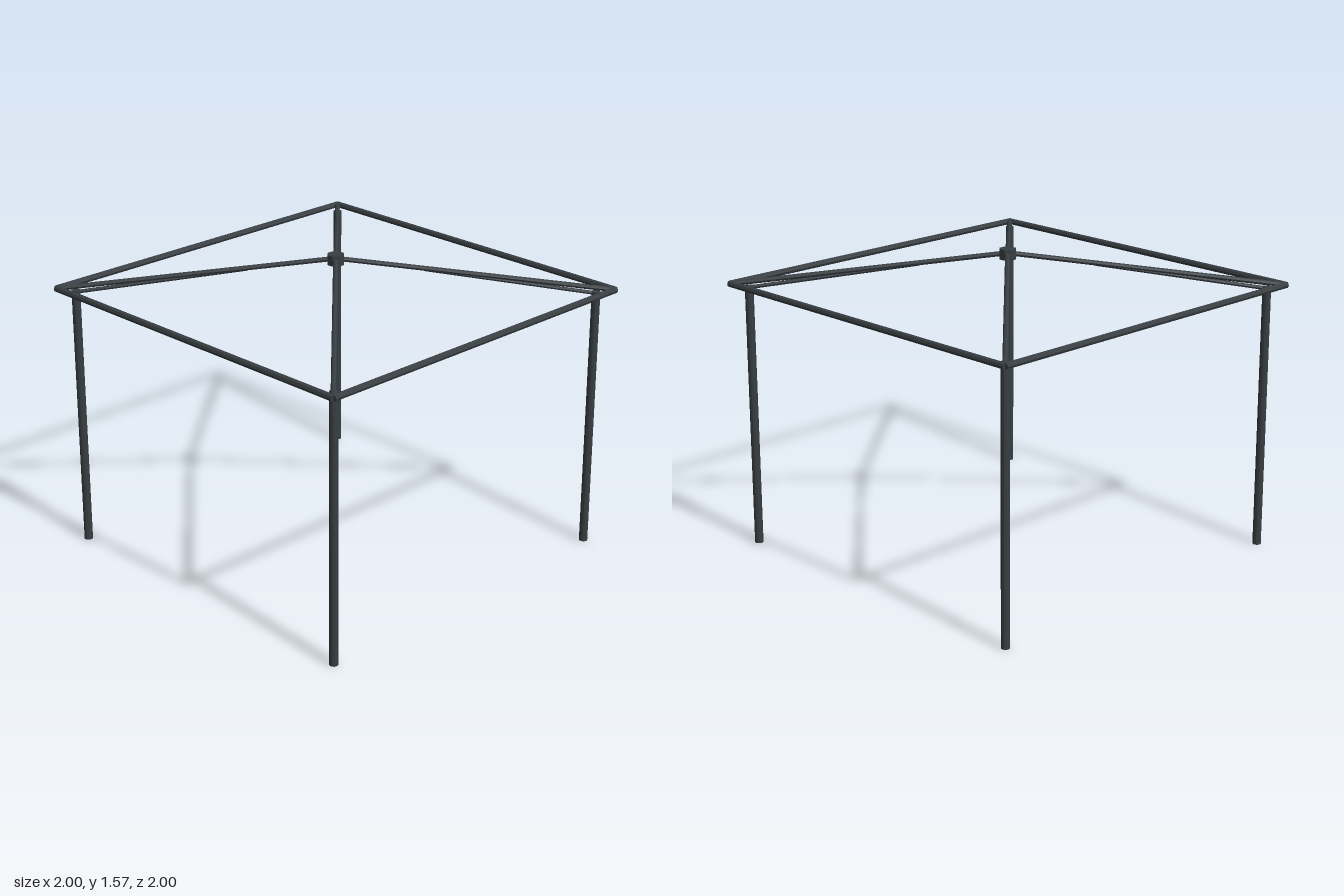
import * as THREE from 'three';

const metal = new THREE.MeshStandardMaterial({ color: 0x383e42, flatShading: true });

// Round bar between two points
function bar(name, from, to, radius, sides) {
  const a = new THREE.Vector3(...from);
  const b = new THREE.Vector3(...to);
  const dir = b.clone().sub(a);
  const mesh = new THREE.Mesh(new THREE.CylinderGeometry(radius, radius, dir.length(), sides), metal);
  mesh.position.copy(a).add(b).multiplyScalar(0.5);
  mesh.quaternion.setFromUnitVectors(new THREE.Vector3(0, 1, 0), dir.normalize());
  mesh.name = name;
  return mesh;
}

export function createModel() {
  const group = new THREE.Group();
  group.name = 'canopyFrame';
  const edge = 0.983, eaveY = 1.388, post = 0.915;

  // Four corners: post, long rafter to the peak, and brace beneath it
  for (const sx of [-1, 1]) {
    for (const sz of [-1, 1]) {
      group.add(
        bar('post', [sx * post, 0, sz * post], [sx * post, 1.38, sz * post], 0.022, 12),
        bar('rafter', [sx * edge, eaveY, sz * edge], [0, 1.55, 0], 0.013, 8),
        bar('brace', [sx * post, 1.37, sz * post], [sx * 0.31, 1.494, sz * 0.31], 0.01, 8)
      );
    }
  }

  // Square of eave beams
  for (const s of [-1, 1]) {
    group.add(
      bar('eaveBeam', [-edge, eaveY, s * edge], [edge, eaveY, s * edge], 0.017, 8),
      bar('sideEaveBeam', [s * edge, eaveY, -edge], [s * edge, eaveY, edge], 0.017, 8)
    );
  }

  // Hub at the peak
  const hub = new THREE.Mesh(new THREE.CylinderGeometry(0.044, 0.044, 0.052, 8), metal);
  hub.rotation.y = Math.PI / 8;
  hub.position.y = 1.546;
  hub.name = 'peakHub';
  group.add(hub);

  return group;
}
